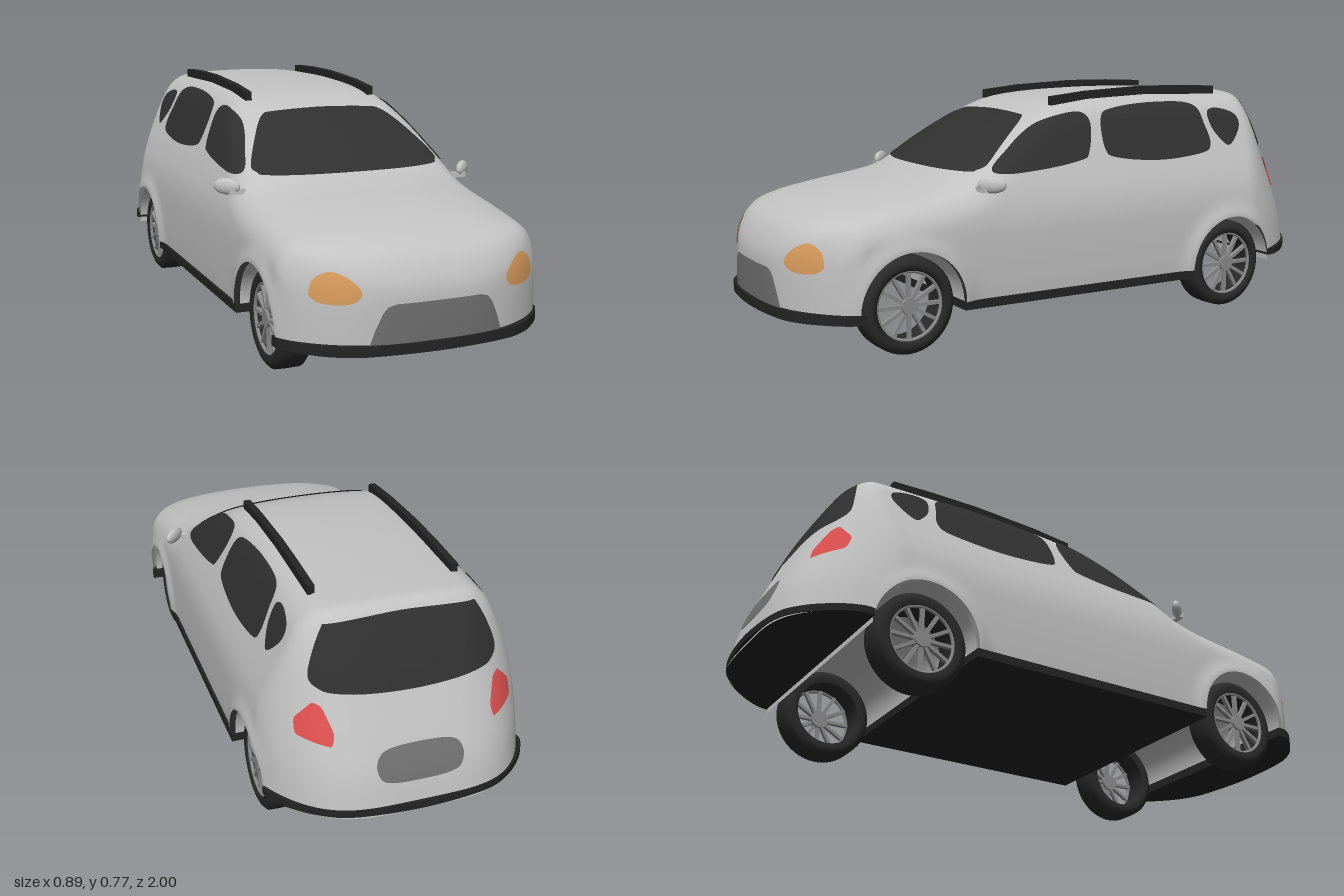
import * as THREE from 'three';

const mat = (name, color, side = THREE.FrontSide) => {
  const m = new THREE.MeshStandardMaterial({ color, side });
  m.name = name;
  return m;
};
const V = (x, y, z) => new THREE.Vector3(x, y, z);

// Smooth curve through [input, output] pairs, inputs ascending
function curve(pts) {
  const n = pts.length;
  const slope = pts.map((p, i) => {
    const a = pts[Math.max(i - 1, 0)], b = pts[Math.min(i + 1, n - 1)];
    return (b[1] - a[1]) / (b[0] - a[0]);
  });
  return (t) => {
    let i = 0;
    while (i < n - 2 && t > pts[i + 1][0]) i++;
    const h = pts[i + 1][0] - pts[i][0];
    const s = (t - pts[i][0]) / h;
    if (s < 0) return pts[0][1] + slope[0] * s * h;
    if (s > 1) return pts[n - 1][1] + slope[n - 1] * (s - 1) * h;
    const s2 = s * s, s3 = s2 * s;
    return (2 * s3 - 3 * s2 + 1) * pts[i][1] + (s3 - 2 * s2 + s) * h * slope[i]
      + (3 * s2 - 2 * s3) * pts[i + 1][1] + (s3 - s2) * h * slope[i + 1];
  };
}
const smin = (a, b, k) => {
  const h = Math.max(k - Math.abs(a - b), 0) / k;
  return Math.min(a, b) - h * h * k / 4;
};

// Body form: half width by height, top line by z, nose and tail by height
const halfWidth = curve([[0.1, 0.407], [0.2, 0.412], [0.35, 0.412], [0.42, 0.403], [0.48, 0.385],
  [0.53, 0.365], [0.6, 0.335], [0.7, 0.289], [0.78, 0.25]]);
const topLine = curve([[-0.8, 0.742], [-0.6, 0.75], [-0.3, 0.755], [0, 0.737], [0.14, 0.69], [0.28, 0.612], [0.41, 0.533],
  [0.51, 0.506], [0.675, 0.48], [0.81, 0.452], [0.9, 0.415], [0.95, 0.38], [1, 0.32]]);
const nose = curve([[0.1, 0.987], [0.25, 0.987], [0.31, 0.982], [0.36, 0.968], [0.45, 0.935]]);
const tail = curve([[0.15, -0.995], [0.2, -0.988], [0.3, -0.966], [0.4, -0.928], [0.5, -0.884], [0.62, -0.83], [0.75, -0.76]]);
const WHEELS = [0.632, -0.59], AXLE = 0.15, ARCH = 0.172;

// Positive inside the body, zero on its skin
function inside(p) {
  const x = Math.abs(p.x);
  let flare = 0;
  for (const w of WHEELS) {
    const r = (Math.hypot(p.z - w, p.y - AXLE) - ARCH) / 0.035;
    flare += 0.013 * Math.exp(-r * r);
  }
  const side = halfWidth(p.y) + flare - x;
  const slope = (topLine(p.z + 0.01) - topLine(p.z - 0.01)) / 0.02;
  const top = (topLine(p.z) - 0.15 * x * x - 1.5 * x ** 4 - p.y) / Math.hypot(1, slope);
  const front = nose(p.y) - 2.3 * x ** 3 - p.z;
  const back = p.z - tail(p.y) - 8 * x ** 4;
  return smin(smin(side, top, 0.06), smin(front, back, 0.03), 0.035);
}
// Skin point on a ray that starts inside
function hit(start, dir) {
  let a = 0, b = 1.6;
  for (let i = 0; i < 32; i++) {
    const m = (a + b) / 2;
    if (inside(start.clone().addScaledVector(dir, m)) > 0) a = m; else b = m;
  }
  return start.clone().addScaledVector(dir, a);
}
function skinNormal(p) {
  const e = 0.004;
  const g = [V(e, 0, 0), V(0, e, 0), V(0, 0, e)].map(
    (d) => inside(p.clone().sub(d)) - inside(p.clone().add(d)));
  return V(...g).normalize();
}
// Quad grid from rows of skin points
function skin(rows, lift = 0) {
  const pos = [], nor = [], idx = [], n = rows[0].length;
  for (const p of rows.flat()) {
    const q = skinNormal(p);
    pos.push(...p.clone().addScaledVector(q, lift).toArray());
    nor.push(...q.toArray());
  }
  const at = (k) => V(pos[k * 3], pos[k * 3 + 1], pos[k * 3 + 2]);
  const mid = Math.floor(rows.length / 2) * n + Math.floor(n / 2);
  const face = at(mid + n).sub(at(mid)).cross(at(mid + 1).sub(at(mid)));
  const flip = face.dot(V(nor[mid * 3], nor[mid * 3 + 1], nor[mid * 3 + 2])) < 0;
  for (let i = 0; i < rows.length - 1; i++) for (let j = 0; j < n - 1; j++) {
    const a = i * n + j, b = a + n;
    if (flip) idx.push(a, a + 1, b, b, a + 1, b + 1);
    else idx.push(a, b, a + 1, b, b + 1, a + 1);
  }
  const g = new THREE.BufferGeometry();
  g.setAttribute('position', new THREE.Float32BufferAttribute(pos, 3));
  g.setAttribute('normal', new THREE.Float32BufferAttribute(nor, 3));
  g.setIndex(idx);
  return g;
}

// Shell: a fan at the nose, upright sections along the length, a fan at the tail
function shellGeometry() {
  const rows = [], SEG = 80, FAN = 26;
  const row = (y, z, phi) => {
    const r = [];
    for (let j = 0; j <= SEG; j++) {
      const t = Math.PI * j / SEG;
      const d = V(Math.cos(t), Math.sin(t) * Math.cos(phi), Math.sin(t) * Math.sin(phi));
      r.push(hit(V(0, y, z), d.normalize()));
    }
    rows.push(r);
  };
  const [f, b] = WHEELS, end = Math.PI - Math.asin(0.03 / ARCH);
  for (let i = 0; i < FAN; i++) row(AXLE, f + ARCH, Math.PI / 2 * (1 - i / FAN));
  const arch = (w, last) => {
    for (let i = 0; i <= 28; i++) {
      const a = last * i / 28;
      row(AXLE + ARCH * Math.sin(a), w + ARCH * Math.cos(a), 0);
    }
  };
  arch(f, Math.PI);
  const z0 = f - ARCH, z1 = b + ARCH;
  for (let i = 1; i < 44; i++) row(AXLE, z0 + (z1 - z0) * i / 44, 0);
  arch(b, end);
  for (let i = 1; i <= FAN; i++) row(0.18, b + ARCH * Math.cos(end), -Math.PI / 2 * i / FAN);
  return skin(rows);
}

// Thin panel on the skin: a flat outline cast along an axis
function panelGeometry(outline, toRay, tension = 0.5) {
  const c = new THREE.CatmullRomCurve3(outline.map(([u, v]) => V(u, v, 0)), true, 'catmullrom', tension);
  const edge = c.getPoints(72);
  const mid = new THREE.Box3().setFromPoints(edge).getCenter(V(0, 0, 0));
  const rows = [];
  for (let i = 0; i <= 14; i++) rows.push(edge.map((e) => {
    const q = mid.clone().lerp(e, Math.max(i / 14, 0.001));
    return hit(...toRay(q.x, q.y));
  }));
  return skin(rows, 0.004);
}
const castSide = (s) => (z, y) => [V(0, y, z), V(s, 0, 0)];
const castFront = (s) => (x, y) => [V(s * x, y, 0), V(0, 0, 1)];
const castBack = (s) => (x, y) => [V(s * x, y, 0), V(0, 0, -1)];
const mirrored = (half) => [...half, ...half.slice().reverse().filter((p) => p[0] !== 0).map(([x, y]) => [-x, y])];

export function createModel() {
  const car = new THREE.Group();
  car.name = 'car';
  const paint = mat('bodyPaint', 0xc2c2c2, THREE.DoubleSide);
  const glass = mat('darkGlass', 0x303030, THREE.DoubleSide);
  const trim = mat('blackTrim', 0x242424);
  const rubber = mat('tyreRubber', 0x2a2a2a);
  const metal = mat('rimMetal', 0x8c8c8c);
  const grey = mat('greyPanel', 0x707070, THREE.DoubleSide);
  const amber = mat('amberLamp', 0xd69a5a, THREE.DoubleSide);
  const red = mat('redLamp', 0xde5050, THREE.DoubleSide);
  const add = (name, geo, m, parent = car) => {
    const mesh = new THREE.Mesh(geo, m);
    mesh.name = name;
    parent.add(mesh);
    return mesh;
  };

  add('bodyShell', shellGeometry(), paint);

  // Centre panels
  add('windshield', panelGeometry(mirrored([[0, 0.695], [0.165, 0.689], [0.215, 0.678], [0.26, 0.635],
    [0.315, 0.555], [0.31, 0.533], [0.27, 0.525], [0, 0.525]]), castFront(1)), glass);
  add('rearWindow', panelGeometry(mirrored([[0, 0.718], [0.2, 0.707], [0.24, 0.69], [0.285, 0.58],
    [0.265, 0.54], [0.2, 0.527], [0, 0.517]]), castBack(1)), glass);
  add('grille', panelGeometry(mirrored([[0, 0.265], [0.13, 0.265], [0.155, 0.258], [0.17, 0.24], [0.19, 0.195], [0.205, 0.152],
    [0, 0.152]]), castFront(1), 0), grey);
  add('tailgatePanel', panelGeometry(mirrored([[0, 0.378], [0.1, 0.37], [0.132, 0.335], [0.122, 0.29],
    [0.08, 0.275], [0, 0.272]]), castBack(1)), grey);

  // Panels and fittings repeated on both sides
  for (const [side, s] of [['left', 1], ['right', -1]]) {
    add(side + 'FrontWindow', panelGeometry([[0.325, 0.527], [0.25, 0.595], [0.145, 0.66], [0.04, 0.69], [-0.04, 0.694],
      [-0.06, 0.655], [-0.03, 0.57], [0.01, 0.547], [0.17, 0.527]], castSide(s)), glass);
    add(side + 'RearWindow', panelGeometry([[-0.095, 0.58], [-0.107, 0.675], [-0.165, 0.703], [-0.34, 0.716], [-0.5, 0.704],
      [-0.53, 0.635], [-0.535, 0.57], [-0.49, 0.543], [-0.31, 0.53], [-0.135, 0.548]], castSide(s)), glass);
    add(side + 'QuarterWindow', panelGeometry([[-0.557, 0.678], [-0.605, 0.688], [-0.675, 0.665], [-0.68, 0.62],
      [-0.62, 0.563], [-0.58, 0.59], [-0.557, 0.63]], castSide(s)), glass);
    add(side + 'Headlight', panelGeometry([[0.35, 0.3], [0.338, 0.333], [0.3, 0.354], [0.26, 0.34], [0.228, 0.31],
      [0.228, 0.285], [0.26, 0.268], [0.32, 0.268], [0.347, 0.283]], castFront(s)), amber);
    add(side + 'TailLight', panelGeometry([[0.24, 0.425], [0.262, 0.49], [0.285, 0.5], [0.33, 0.45], [0.33, 0.405],
      [0.25, 0.388]], castBack(s), 0.2), red);

    // Roof rail, gently arched
    const rail = new THREE.Shape([[0.04, 0.718], [0.04, 0.747], [-0.1, 0.761], [-0.33, 0.771], [-0.5, 0.769], [-0.64, 0.763],
      [-0.64, 0.735], [-0.33, 0.743], [-0.1, 0.735]].map(([z, y]) => new THREE.Vector2(-z, y)));
    const railGeo = new THREE.ExtrudeGeometry(rail, { depth: 0.022, bevelEnabled: false });
    railGeo.translate(0, 0, -0.011).rotateY(-Math.PI / 2).scale(1, 1, 1);
    // The extrusion runs along x once turned, with the rail's front at +z
    railGeo.rotateY(Math.PI);
    add(side + 'RoofRail', railGeo, trim).position.x = s * 0.223;

    // Door mirror with its stalk
    const mirror = add(side + 'Mirror', new THREE.SphereGeometry(1, 24, 16), paint);
    mirror.scale.set(0.046, 0.026, 0.016);
    mirror.position.set(s * 0.411, 0.5, 0.365);
    mirror.rotation.y = s * 0.8;
    const stalk = add(side + 'MirrorStalk', new THREE.BoxGeometry(0.05, 0.016, 0.02), paint);
    stalk.position.set(s * 0.385, 0.485, 0.385);
  }

  // Wheels, arch liners
  const tyre = new THREE.LatheGeometry([[0.108, -0.048], [0.125, -0.0525], [0.138, -0.047], [0.15, -0.036], [0.151, 0],
    [0.15, 0.036], [0.138, 0.047], [0.125, 0.0525], [0.108, 0.048], [0.108, -0.048]].map((p) => new THREE.Vector2(...p)), 48)
    .rotateZ(-Math.PI / 2);
  WHEELS.forEach((z, i) => {
    const end = ['front', 'rear'][i];
    for (const s of [1, -1]) {
      const wheel = new THREE.Group();
      wheel.name = end + (s > 0 ? 'LeftWheel' : 'RightWheel');
      wheel.position.set(s * 0.3375, 0.151, z);
      car.add(wheel);
      add('tyre', tyre, rubber, wheel);
      add('rim', new THREE.TorusGeometry(0.106, 0.006, 8, 48).rotateY(Math.PI / 2), metal, wheel).position.x = s * 0.04;
      add('hub', new THREE.CylinderGeometry(0.026, 0.03, 0.03, 24).rotateZ(-s * Math.PI / 2), metal, wheel).position.x = s * 0.034;
      for (let k = 0; k < 12; k++) {
        const spoke = new THREE.BoxGeometry(0.014, 0.086, 0.011).translate(s * 0.036, 0.064, 0);
        add('spoke', spoke.rotateX(k * Math.PI / 6), metal, wheel);
      }
    }
    const liner = new THREE.CylinderGeometry(ARCH, ARCH, 0.81, 40, 1, true, 0, Math.PI).rotateZ(Math.PI / 2);
    add(end + 'ArchLiner', liner, paint).position.set(0, AXLE, z);
  });

  // Floor and bumpers
  add('floor', new THREE.BoxGeometry(0.836, 0.027, 0.885), trim).position.set(0, 0.137, 0.02);
  const bumper = (half, top, thick) => {
    const pts = mirrored(half).map((p) => new THREE.Vector2(...p));
    const shape = new THREE.Shape();
    shape.moveTo(pts[0].x, pts[0].y);
    shape.splineThru(pts.slice(1));
    return new THREE.ExtrudeGeometry(shape, { depth: thick, bevelEnabled: false, curveSegments: 40 })
      .rotateX(Math.PI / 2).translate(0, top, 0);
  };
  add('frontBumper', bumper([[0.422, 0.785], [0.415, 0.825], [0.375, 0.88], [0.3, 0.945], [0.2, 0.983], [0, 1]], 0.152, 0.03), trim);
  const rear = bumper([[0.415, -0.76], [0.41, -0.795], [0.375, -0.855], [0.3, -0.93], [0.2, -0.98], [0, -1]], 0.19, 0.022);
  const rp = rear.attributes.position;
  for (let i = 0; i < rp.count; i++) rp.setY(i, rp.getY(i) + (-0.76 - rp.getZ(i)) * 0.08);
  rear.computeVertexNormals();
  add('rearBumper', rear, trim);
  return car;
}
